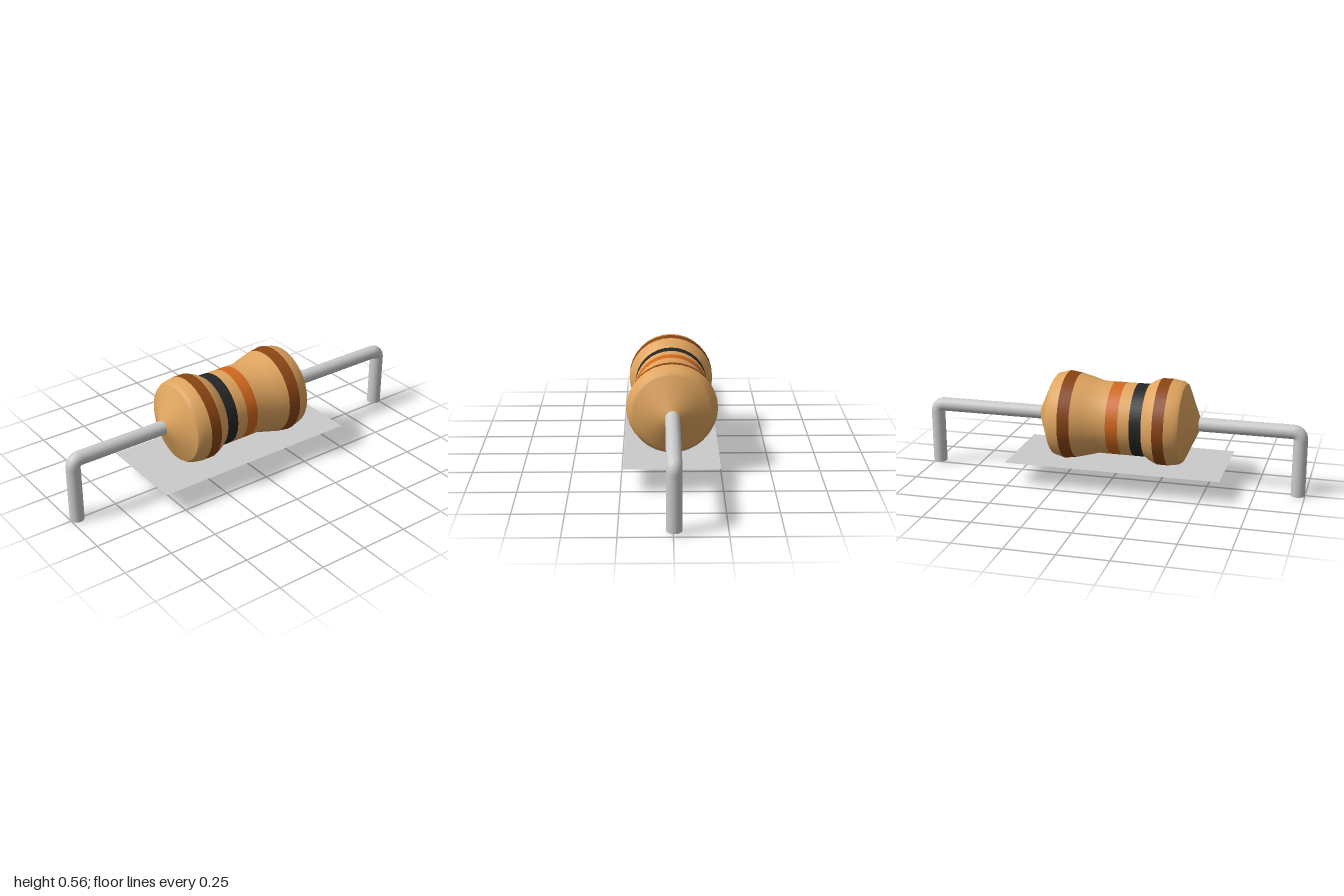
import * as THREE from 'three';

const X = -0.004, Y = 0.333, R = 0.036, BEND = 0.037;

const paint = (color) => new THREE.MeshStandardMaterial({ color, side: THREE.DoubleSide });
const metal = new THREE.MeshStandardMaterial({ color: 0xcccccc });
const tan = paint(0xe0a55f), brown = paint(0x8b4513), black = paint(0x262626), orange = paint(0xd2691e);

function add(parent, name, geometry, material) {
  const mesh = new THREE.Mesh(geometry, material);
  mesh.name = name;
  parent.add(mesh);
  return mesh;
}

// Bent wire running from the body out along +z, then down to the given height
function makeLead(name, inner, outer, bottom) {
  const lead = new THREE.Group();
  lead.name = name;
  const legZ = outer - R, bendZ = legZ - BEND, legTop = Y - BEND;
  const run = add(lead, 'leadRun', new THREE.CylinderGeometry(R, R, bendZ - inner, 24), metal);
  run.rotation.x = Math.PI / 2;
  run.position.set(0, Y, (inner + bendZ) / 2);
  const elbow = add(lead, 'leadElbow', new THREE.TorusGeometry(BEND, R, 24, 8, Math.PI / 2), metal);
  elbow.rotation.y = -Math.PI / 2;
  elbow.position.set(0, legTop, bendZ);
  const leg = add(lead, 'leadLeg', new THREE.CylinderGeometry(R, R, legTop - bottom, 24), metal);
  leg.position.set(0, (legTop + bottom) / 2, legZ);
  lead.position.x = X;
  return lead;
}

export function createModel() {
  const model = new THREE.Group();
  model.name = 'resistor';

  // Body sections from back to front, each a list of [radius, z]
  const sections = [
    ['backCone', tan, [[0.02, -0.385], [0.195, -0.303]]],
    ['backShoulder', tan, [[0.195, -0.303], [0.213, -0.29], [0.228, -0.232]]],
    ['backBrownBand', brown, [[0.228, -0.232], [0.219, -0.172]]],
    ['backFlare', tan, [[0.219, -0.172], [0.203, -0.11], [0.187, -0.055], [0.187, 0.008]]],
    ['orangeBand', orange, [[0.187, 0.008], [0.187, 0.071]]],
    ['waist', tan, [[0.187, 0.071], [0.187, 0.13]]],
    ['blackBand', black, [[0.187, 0.13], [0.187, 0.191]]],
    ['frontFlare', tan, [[0.187, 0.191], [0.206, 0.218], [0.221, 0.254]]],
    ['frontBrownBand', brown, [[0.221, 0.254], [0.221, 0.312]]],
    ['frontShoulder', tan, [[0.221, 0.312], [0.213, 0.36], [0.2, 0.38]]],
    ['frontCone', tan, [[0.2, 0.38], [0.02, 0.462]]],
  ];
  const body = new THREE.Group();
  body.name = 'body';
  for (const [name, material, profile] of sections) {
    const points = profile.map(([r, z]) => new THREE.Vector2(r, z));
    add(body, name, new THREE.LatheGeometry(points, 32), material);
  }
  body.rotation.x = Math.PI / 2;
  body.position.set(X, Y, 0);
  model.add(body);

  // Wire leads; the back one ends slightly higher
  model.add(makeLead('frontLead', 0.43, 1, 0));
  const backLead = makeLead('backLead', 0.35, 1, 0.015);
  backLead.scale.z = -1;
  model.add(backLead);

  // Thin sheet that the swollen ends of the body just poke through
  const sheet = add(model, 'baseSheet', new THREE.PlaneGeometry(0.474, 1.11),
    new THREE.MeshStandardMaterial({ color: 0xcccccc, side: THREE.DoubleSide }));
  sheet.rotation.x = -Math.PI / 2;
  sheet.position.set(0, 0.12, 0.045);

  return model;
}
